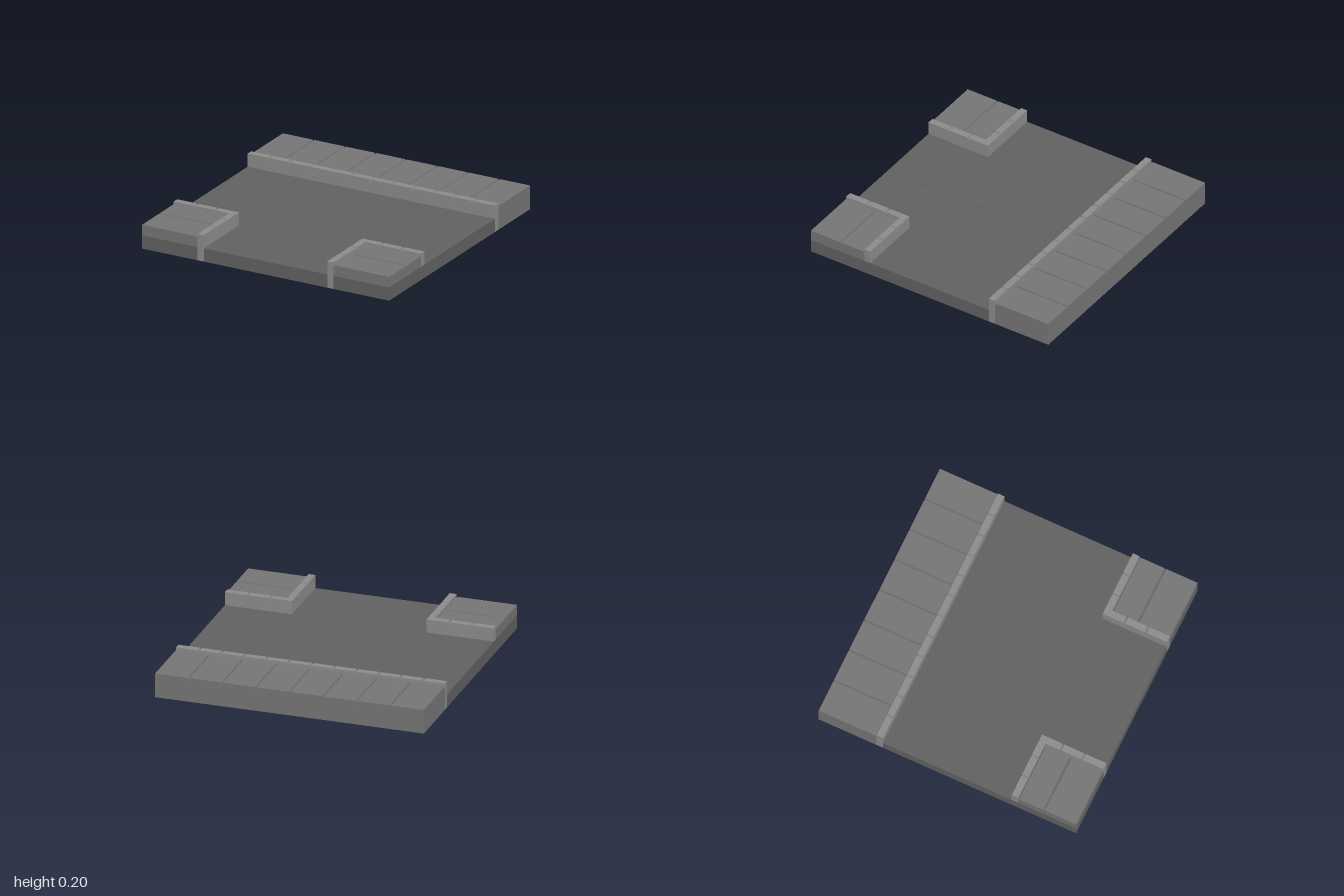
import * as THREE from 'three';

const material = (color) => new THREE.MeshStandardMaterial({ color, flatShading: true });

// Stone block; its top edges are cut back by inset = [x0, x1, z0, z1] to form V joints.
function block(name, mat, [x0, x1], [y0, y1], [z0, z1], inset, depth = 0.03) {
  const geo = new THREE.BoxGeometry(1, 1, 1, 1, 2, 1);
  const p = geo.attributes.position;
  for (let i = 0; i < p.count; i++) {
    const k = p.getY(i) > 0.1 ? 1 : 0;
    const y = k ? y1 : p.getY(i) < -0.1 ? y0 : y1 - depth;
    const x = p.getX(i) < 0 ? x0 + k * inset[0] : x1 - k * inset[1];
    const z = p.getZ(i) < 0 ? z0 + k * inset[2] : z1 - k * inset[3];
    p.setXYZ(i, x, y, z);
  }
  geo.computeVertexNormals();
  const mesh = new THREE.Mesh(geo, mat);
  mesh.name = name;
  return mesh;
}

export function createModel() {
  const model = new THREE.Group();
  model.name = 'roadJunction';
  const asphalt = material(0x606060);
  const paving = material(0x747474);
  const stone = material(0x8a8a8a);
  const J = 0.007;
  const step = 1 / 6;

  // Road slab, slotted where the front curbs reach the ground
  const outline = [
    [-1, 0.5], [1, 0.5], [1, -1], [0.55, -1], [0.55, -0.55], [0.5, -0.55], [0.5, -1],
    [-0.5, -1], [-0.5, -0.55], [-0.55, -0.55], [-0.55, -1], [-1, -1],
  ].map(([x, y]) => new THREE.Vector2(x, y));
  const slab = new THREE.ExtrudeGeometry(new THREE.Shape(outline), { depth: 0.1, bevelEnabled: false });
  slab.rotateX(-Math.PI / 2);
  const road = new THREE.Mesh(slab, asphalt);
  road.name = 'road';
  model.add(road);

  // Lane dashes
  for (const [z0, z1] of [[0.12, 0.375], [0.53, 0.845]]) {
    const dash = new THREE.Mesh(new THREE.BoxGeometry(0.05, 0.004, z1 - z0), asphalt);
    dash.position.set(0, 0.101, (z0 + z1) / 2);
    dash.name = 'laneDash';
    model.add(dash);
  }

  // Back pavement: eight slabs behind a row of twelve curb stones
  const back = new THREE.Group();
  back.name = 'backPavement';
  for (let i = 0; i < 8; i++) {
    const x = -1 + i * 0.25;
    back.add(block('pavingSlab', paving, [x, x + 0.25], [0, 0.18], [-1, -0.55],
      [i > 0 ? J : 0, i < 7 ? J : 0, 0, J]));
  }
  for (let i = 0; i < 12; i++) {
    const x = -1 + i * step;
    back.add(block('curbStone', stone, [x, x + step], [0, 0.2], [-0.55, -0.5],
      [i > 0 ? J : 0, i < 11 ? J : 0, 0, 0]));
  }
  model.add(back);

  // Front corner pavements, mirrored left and right
  for (const s of [1, -1]) {
    const corner = new THREE.Group();
    corner.name = s > 0 ? 'leftCorner' : 'rightCorner';
    const add = (name, mat, [a, b], ys, zs, [inner, outer, z0, z1]) => corner.add(
      block(name, mat, s > 0 ? [a, b] : [-b, -a], ys, zs,
        s > 0 ? [inner, outer, z0, z1] : [outer, inner, z0, z1]));

    add('pavingSlab', paving, [0.55, 1], [0.1, 0.18], [0.55, 0.75], [J, 0, J, J]);
    add('pavingSlab', paving, [0.55, 1], [0.1, 0.18], [0.75, 1], [J, 0, J, 0]);
    for (let i = 0; i < 3; i++) {
      const a = 0.5 + i * step;
      // Run along the crossing street
      add('curbStone', stone, [a, a + step], [0.1, 0.2], [0.5, 0.55],
        [i > 0 ? J : 0, i < 2 ? J : 0, 0, 0]);
      // Run along the side street
      add('curbStone', stone, [0.5, 0.55], [0, 0.2], [i ? a : 0.55, a + step],
        [0, 0, i > 0 ? J : 0, i < 2 ? J : 0]);
    }
    model.add(corner);
  }
  return model;
}
